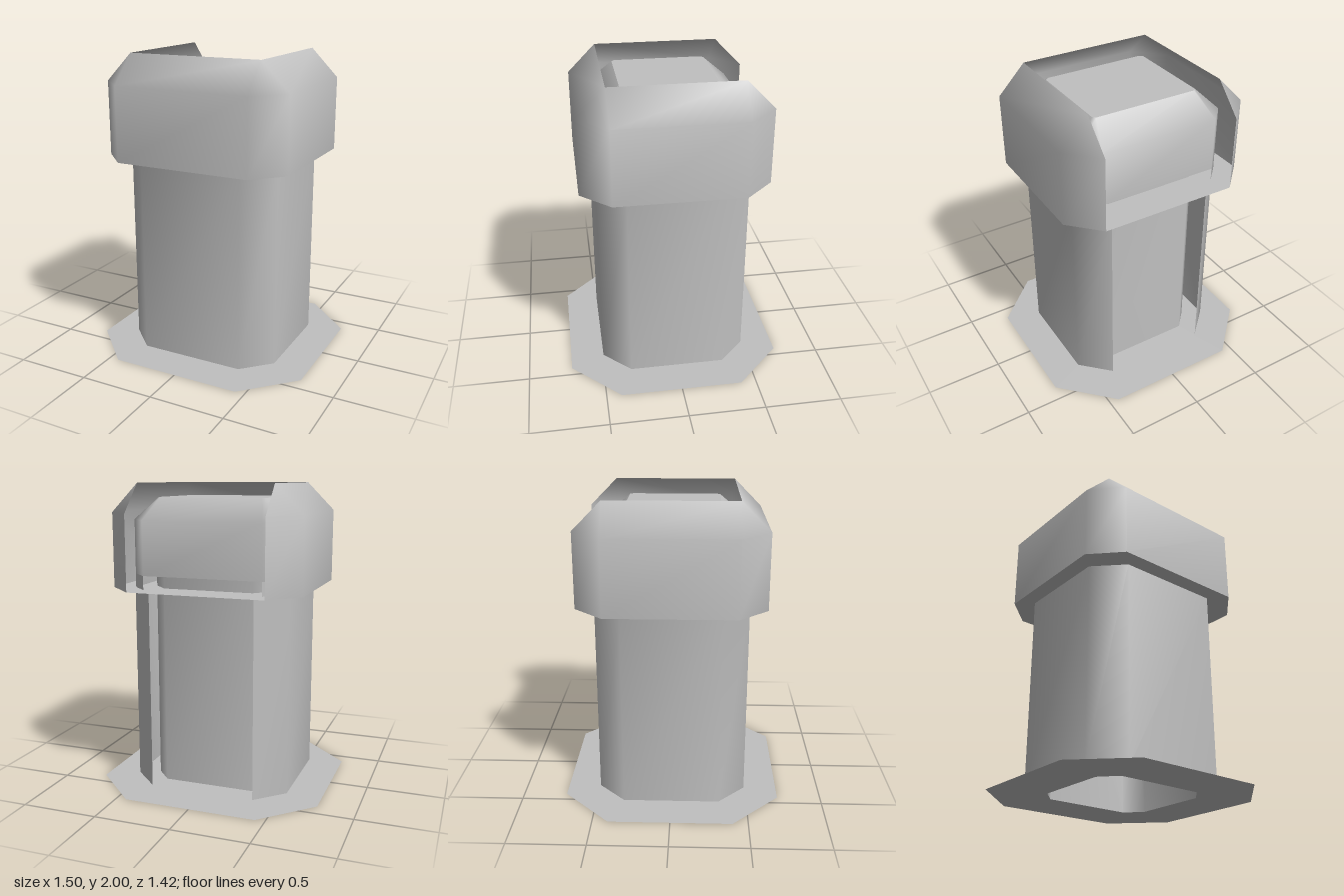
import * as THREE from 'three';
import { mergeVertices } from 'three/addons/utils/BufferGeometryUtils.js';

// Chamfered rectangle: half sizes hx, hz; b and c are where the corners are cut.
// Starts and ends at the back edge, so an unclosed loop leaves the back open.
function octagon([hx, hz, b, c]) {
  return [
    [-b, -hz], [-hx, -c], [-hx, c], [-b, hz],
    [b, hz], [hx, c], [hx, -c], [b, -hz],
  ];
}

// Smooth skin through octagonal sections, each given as { y, size }
function skin(sections, closed) {
  const positions = [];
  const index = [];
  for (const { y, size } of sections) {
    for (const [x, z] of octagon(size)) positions.push(x, y, z);
  }
  for (let s = 0; s < sections.length - 1; s++) {
    for (let i = 0; i < (closed ? 8 : 7); i++) {
      const a = s * 8 + i;
      const b = s * 8 + (i + 1) % 8;
      index.push(a, b, b + 8, a, b + 8, a + 8);
    }
  }
  const geometry = new THREE.BufferGeometry();
  geometry.setAttribute('position', new THREE.Float32BufferAttribute(positions, 3));
  geometry.setIndex(index);
  const merged = mergeVertices(geometry);
  merged.computeVertexNormals();
  return merged;
}

// Flat horizontal octagon, with an optional octagonal hole
function panel(y, outer, hole) {
  const points = (size) => octagon(size).map(([x, z]) => new THREE.Vector2(x, -z));
  const shape = new THREE.Shape(points(outer));
  if (hole) shape.holes.push(new THREE.Path(points(hole)));
  return new THREE.ShapeGeometry(shape).rotateX(-Math.PI / 2).translate(0, y, 0);
}

export function createModel() {
  const model = new THREE.Group();
  model.name = 'pillar';
  const grey = new THREE.MeshStandardMaterial({ color: 0xc0c0c0, side: THREE.DoubleSide });
  grey.name = 'grey';

  const add = (name, geometry) => {
    const mesh = new THREE.Mesh(geometry, grey);
    mesh.name = name;
    model.add(mesh);
  };

  const plate = [0.75, 0.712, 0.435, 0.4];
  const body = [0.528, 0.49, 0.349, 0.314];
  const column = [0.4, 0.36, 0.3, 0.25];
  const cap = [0.633, 0.597, 0.45, 0.41];
  const capTop = [0.45, 0.413, 0.45, 0.413];
  const head = [0.5, 0.47, 0.395, 0.36];
  const headTop = [0.36, 0.31, 0.34, 0.29];

  // Ground plate and the inner column rising from its hole
  add('basePlate', panel(0, plate, column));
  add('innerColumn', skin([{ y: 0, size: column }, { y: 1.42, size: column }], true));

  // Outer body, open at the back
  add('bodyFloor', panel(0.02, body, column));
  add('bodyShell', skin([{ y: 0.02, size: body }, { y: 1.33, size: body }], false));

  // Cap shell, open at the back and top
  add('capFloor', panel(1.33, cap, column));
  add('capShell', skin([
    { y: 1.33, size: cap }, { y: 1.815, size: cap }, { y: 2, size: capTop },
  ], false));

  // Head inside the cap, standing on its floor with a low slot at the back
  add('headSkirt', skin([{ y: 1.33, size: head }, { y: 1.42, size: head }], false));
  add('innerHead', skin([
    { y: 1.42, size: head }, { y: 1.77, size: head }, { y: 1.91, size: headTop },
  ], true));
  add('headLid', panel(1.91, headTop));

  return model;
}
